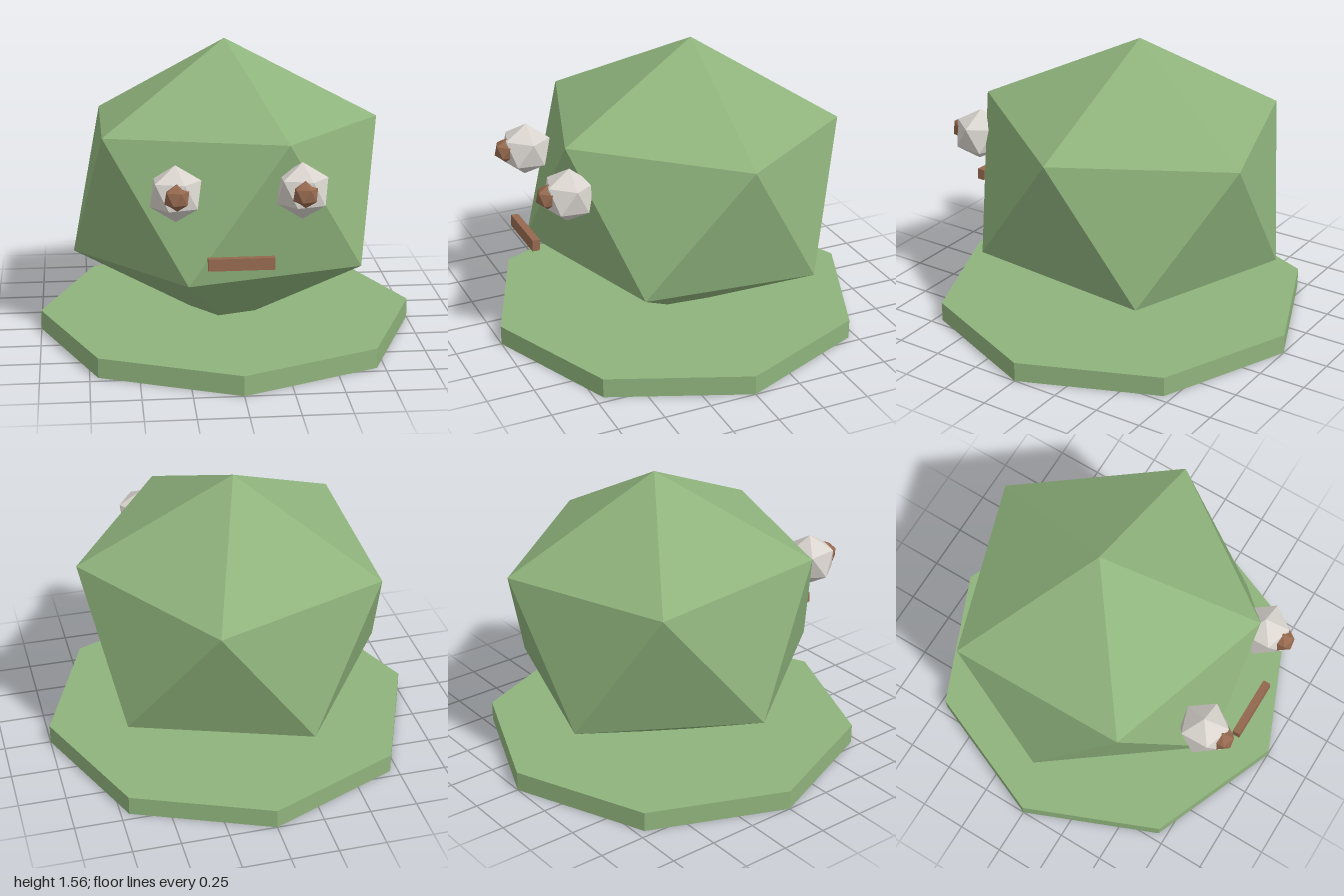
import * as THREE from 'three';

const mat = (name, color) => {
  const m = new THREE.MeshStandardMaterial({ color, flatShading: true });
  m.name = name;
  return m;
};

// Icosahedron turned so that one corner points straight up
function poleUpIcosahedron(radius) {
  const g = new THREE.IcosahedronGeometry(radius, 0);
  g.rotateZ(-Math.atan2(2, 1 + Math.sqrt(5)));
  return g;
}

export function createModel() {
  const green = mat('slime green', 0x8fb37c);
  const white = mat('eye white', 0xd9d4ce);
  const brown = mat('pupil and mouth brown', 0x94684e);

  const model = new THREE.Group();
  model.name = 'blobCreature';

  const add = (parent, name, geometry, material, x, y, z) => {
    const mesh = new THREE.Mesh(geometry, material);
    mesh.name = name;
    mesh.position.set(x, y, z);
    parent.add(mesh);
    return mesh;
  };

  // Octagonal puddle
  add(model, 'puddle', new THREE.CylinderGeometry(1, 1, 0.105, 8), green, 0, 0.0525, 0);

  // Everything above the puddle leans back slightly
  const upper = new THREE.Group();
  upper.name = 'upperBody';
  upper.rotation.x = -0.064;
  model.add(upper);

  // Squashed body
  const body = add(upper, 'body', poleUpIcosahedron(0.912), green, 0, 0.782, 0);
  body.scale.y = 0.857;

  // Eyes with pupils
  for (const [side, s] of [['left', 1], ['right', -1]]) {
    add(upper, side + 'Eye', poleUpIcosahedron(0.142), white, s * 0.312, 0.907, 0.775);
    add(upper, side + 'Pupil', poleUpIcosahedron(0.068), brown, s * 0.312, 0.91, 0.88);
  }

  // Mouth
  add(upper, 'mouth', new THREE.BoxGeometry(0.328, 0.06, 0.04), brown, 0, 0.574, 0.88);

  return model;
}
